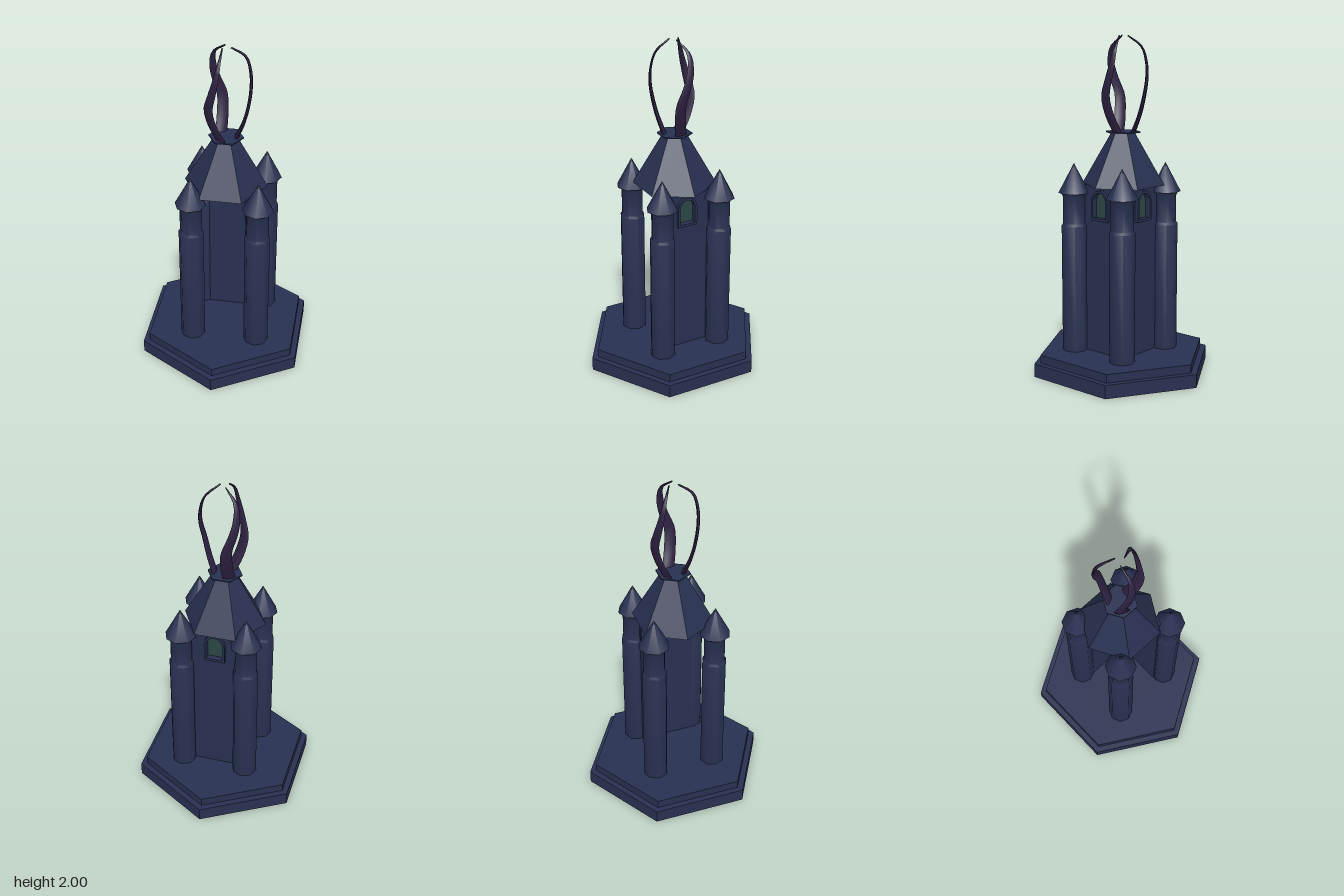
import * as THREE from 'three';
import { toCreasedNormals } from 'three/addons/utils/BufferGeometryUtils.js';

const material = (name, color, side = THREE.FrontSide) => {
  const m = new THREE.MeshStandardMaterial({ color, side });
  m.name = name;
  return m;
};

// Octagons stay smooth, hexagons and square corners stay sharp
const crease = (g) => toCreasedNormals(g, 0.9);

// Slightly narrow hexagon with corners to the front and back
function hexShape(r) {
  const pts = [];
  for (let i = 0; i < 6; i++) {
    const a = Math.PI / 2 + (i * Math.PI) / 3;
    pts.push(new THREE.Vector2(0.98 * r * Math.cos(a), r * Math.sin(a)));
  }
  return new THREE.Shape(pts);
}

// Flat slab standing on y = bottom
function slabGeometry(shape, bottom, top) {
  const g = new THREE.ExtrudeGeometry(shape, { depth: top - bottom, bevelEnabled: false });
  return crease(g.rotateX(-Math.PI / 2).translate(0, bottom, 0));
}

// Round-topped opening standing on y = bottom
function archPath(halfWidth, bottom, spring, Type = THREE.Path) {
  const p = new Type();
  p.moveTo(-halfWidth, bottom);
  p.lineTo(halfWidth, bottom);
  p.lineTo(halfWidth, spring);
  p.absellipse(0, spring, halfWidth, halfWidth * 1.15, 0, Math.PI, false);
  p.lineTo(-halfWidth, bottom);
  return p;
}

function extrudeCentered(shape, depth) {
  const g = new THREE.ExtrudeGeometry(shape, { depth, bevelEnabled: false, curveSegments: 8 });
  return crease(g.translate(0, 0, -depth / 2));
}

// Flat blade: six-sided sections along an S-curve that bulges out and closes in
function bladeGeometry() {
  // radial distance, height, sideways sway
  const curve = new THREE.CatmullRomCurve3([
    [0.06, 1.44, -0.008], [0.1, 1.54, 0.016], [0.128, 1.65, 0.024], [0.138, 1.75, -0.008],
    [0.132, 1.84, -0.03], [0.104, 1.93, -0.032], [0.028, 1.995, 0.004],
  ].map((p) => new THREE.Vector3(...p)));
  const section = [[1, 0.5], [0, 1], [-1, 0.5], [-1, -0.5], [0, -1], [1, -0.5]];
  const steps = 20, sides = section.length, pos = [], index = [];
  for (let i = 0; i <= steps; i++) {
    const t = i / steps, p = curve.getPoint(t), d = curve.getTangent(t);
    const n = new THREE.Vector3(d.y, -d.x, 0).normalize();
    const half = 0.034 * (1 - t ** 1.8) + 0.003;
    const thick = 0.011 * (1 - t * 0.6);
    for (const [a, b] of section) {
      pos.push(p.x + n.x * thick * a, p.y + n.y * thick * a, p.z + half * b);
    }
    if (i === steps) continue;
    for (let k = 0; k < sides; k++) {
      const a = i * sides + k, b = i * sides + ((k + 1) % sides);
      index.push(a, a + sides, b, b, a + sides, b + sides);
    }
  }
  // End caps
  const e = steps * sides;
  for (let k = 1; k < sides - 1; k++) index.push(0, k, k + 1, e, e + k + 1, e + k);
  const g = new THREE.BufferGeometry();
  g.setAttribute('position', new THREE.Float32BufferAttribute(pos, 3));
  g.setIndex(index);
  return crease(g);
}

export function createModel() {
  const stone = material('slate blue stone', 0x273050);
  const horn = material('dark purple horn', 0x2d2141, THREE.DoubleSide);
  const glass = material('dim green glass', 0x2c4644, THREE.DoubleSide);

  const model = new THREE.Group();
  const add = (name, geometry, mat, parent = model) => {
    const mesh = new THREE.Mesh(geometry, mat);
    mesh.name = name;
    parent.add(mesh);
    return mesh;
  };

  // Hexagonal base: lower rim, recessed underneath, and floor slab
  const rimShape = hexShape(0.56);
  rimShape.holes.push(hexShape(0.465));
  add('baseRim', slabGeometry(rimShape, 0, 0.08), stone);
  add('floorSlab', slabGeometry(hexShape(0.52), 0.045, 0.13), stone);

  // Four corner turrets
  const shaft = crease(new THREE.LatheGeometry([
    [0, 0.1], [0.075, 0.1], [0.075, 0.89], [0.066, 0.905], [0.066, 1.06], [0.075, 1.09],
  ].map((p) => new THREE.Vector2(...p)), 8));
  const cap = crease(new THREE.ConeGeometry(0.092, 0.175, 8).translate(0, 1.1725, 0));
  const cx = 0.02, cz = 0.003, hx = 0.196, hz = 0.186;
  for (const sx of [-1, 1]) {
    for (const sz of [-1, 1]) {
      const turret = new THREE.Group();
      turret.name = 'turret';
      turret.position.set(cx + sx * hx, 0, cz + sz * hz);
      add('turretShaft', shaft, stone, turret);
      add('turretCap', cap, stone, turret);
      model.add(turret);
    }
  }

  // Two walls with arched windows, at the back and on the left side
  function addWall(name, x, z, turn) {
    const wall = new THREE.Group();
    wall.name = name;
    const half = 0.16;
    const shape = new THREE.Shape([[-half, 0.11], [half, 0.11], [half, 1.135], [-half, 1.135]]
      .map((p) => new THREE.Vector2(...p)));
    shape.holes.push(archPath(0.05, 0.945, 1.04));
    add('wallPanel', extrudeCentered(shape, 0.034), stone, wall);
    const frame = archPath(0.062, 0.93, 1.04, THREE.Shape);
    frame.holes.push(archPath(0.048, 0.945, 1.04));
    add('windowFrame', extrudeCentered(frame, 0.074), stone, wall);
    add('windowPane', extrudeCentered(archPath(0.05, 0.945, 1.04, THREE.Shape), 0.006), glass, wall);
    wall.position.set(x, 0, z);
    wall.rotation.y = turn;
    model.add(wall);
  }
  addWall('backWall', 0.015, -0.146, 0);
  addWall('sideWall', 0.159, 0.012, Math.PI / 2);

  // Hexagonal roof with a thin plate on top
  const crown = new THREE.Group();
  crown.name = 'roof';
  crown.position.z = -0.005;
  model.add(crown);
  const roof = new THREE.CylinderGeometry(0.07, 0.246, 0.305, 6).rotateY(Math.PI / 6);
  add('roofSlopes', crease(roof.translate(0, 1.2825, 0)), stone, crown);
  const plate = new THREE.CylinderGeometry(0.102, 0.102, 0.008, 6).rotateY(Math.PI / 6);
  add('roofPlate', crease(plate.translate(0, 1.439, 0)), stone, crown);

  // Three curling blades rising from the plate
  const blade = bladeGeometry();
  for (let i = 0; i < 3; i++) {
    add('curledBlade', blade, horn, crown).rotation.y = (i * Math.PI * 2) / 3;
  }
  return model;
}
